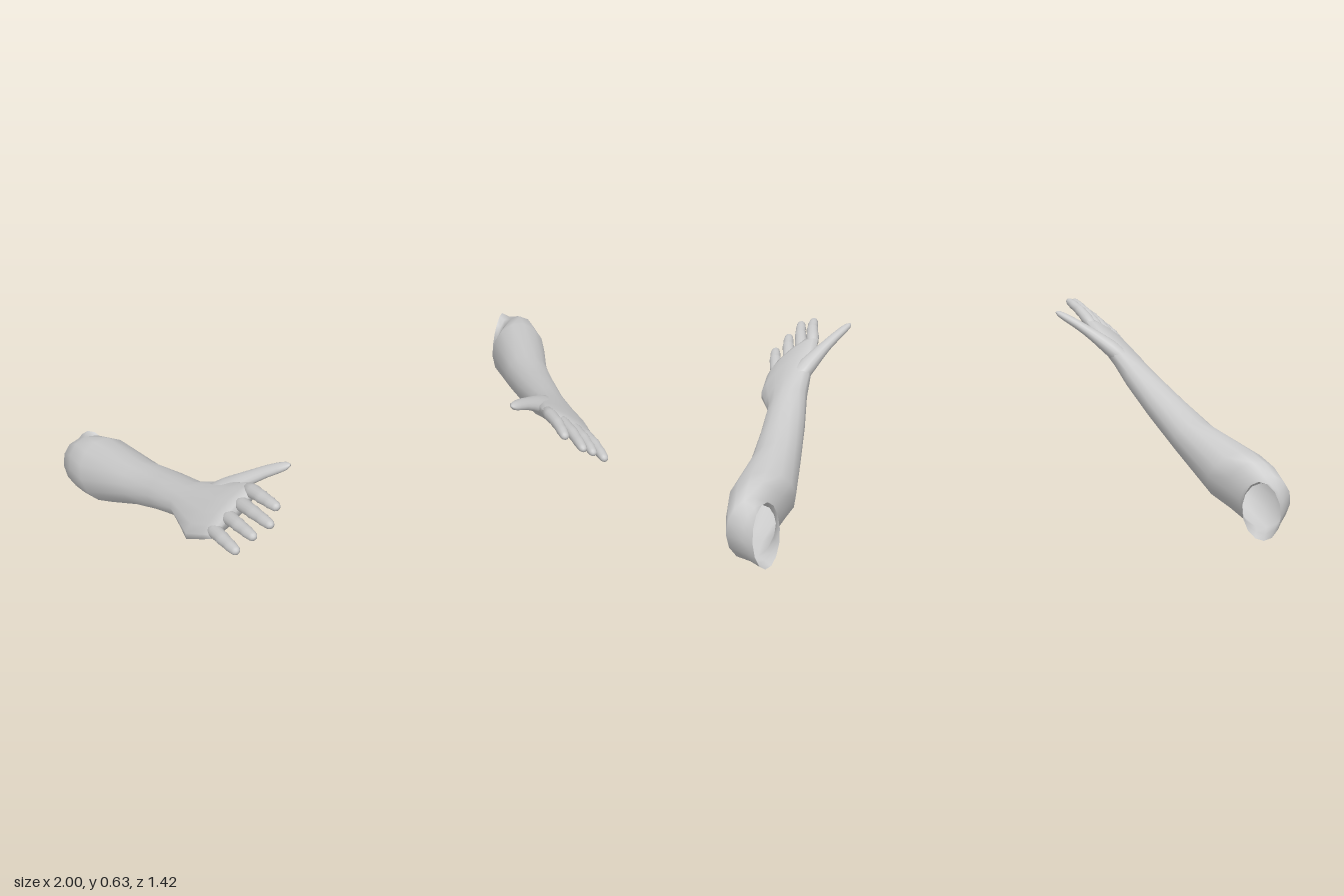
import * as THREE from 'three';

const SIDES = 14;
const vec = (a) => new THREE.Vector3(...a);
const skin = new THREE.MeshStandardMaterial({ color: 0xcccccc, side: THREE.DoubleSide });

// Skin a row of elliptical rings {c, u, v}; the last ring is closed, the first can stay open
function loft(rings, name, openStart = true) {
  const pos = [], index = [];
  for (const { c, u, v } of rings) {
    for (let j = 0; j < SIDES; j++) {
      const a = (j / SIDES) * Math.PI * 2;
      const p = c.clone().addScaledVector(u, Math.cos(a)).addScaledVector(v, Math.sin(a));
      pos.push(p.x, p.y, p.z);
    }
  }
  for (let i = 0; i < rings.length - 1; i++) {
    for (let j = 0; j < SIDES; j++) {
      const k = (j + 1) % SIDES;
      const a = i * SIDES + j, b = i * SIDES + k, c = a + SIDES, d = b + SIDES;
      index.push(a, c, b, b, c, d);
    }
  }
  const cap = (ring, flip) => {
    const centre = pos.length / 3, start = ring * SIDES;
    pos.push(...rings[ring].c.toArray());
    for (let j = 0; j < SIDES; j++) {
      const a = start + j, b = start + ((j + 1) % SIDES);
      index.push(...(flip ? [centre, a, b] : [centre, b, a]));
    }
  };
  cap(rings.length - 1, false);
  if (!openStart) cap(0, true);
  const geo = new THREE.BufferGeometry();
  geo.setAttribute('position', new THREE.Float32BufferAttribute(pos, 3));
  geo.setIndex(index);
  geo.computeVertexNormals();
  const mesh = new THREE.Mesh(geo, skin);
  mesh.name = name;
  return mesh;
}

// Direction out of the back of the hand
const BACK = new THREE.Vector3(0.61, 0.79, 0);

// Finger along a smooth path; profile rows are [position along path, radius]
function digit(points, profile, name, flat = 0.9) {
  const curve = new THREE.CatmullRomCurve3(points.map(vec));
  const rings = profile.map(([t, r]) => {
    const axis = curve.getTangentAt(t);
    const v = BACK.clone().addScaledVector(axis, -BACK.dot(axis)).normalize();
    const u = axis.clone().cross(v);
    return { c: curve.getPointAt(t), u: u.multiplyScalar(r), v: v.multiplyScalar(r * flat) };
  });
  return loft(rings, name, false);
}

// Rings from the open elbow cut to the knuckles: centre, inner half-axis, upper half-axis
const ARM = [
  [[0.870, 0.235, -0.655], [-0.050, 0, 0.055], [0, 0.110, 0.010]],
  [[0.888, 0.232, -0.630], [-0.060, 0, 0.045], [0, 0.100, 0]],
  [[0.912, 0.237, -0.590], [-0.084, 0, 0.030], [0, 0.110, -0.010]],
  [[0.890, 0.260, -0.520], [-0.098, 0, 0.020], [0, 0.118, -0.030]],
  [[0.858, 0.277, -0.440], [-0.112, 0.010, -0.010], [0.010, 0.113, -0.040]],
  [[0.783, 0.325, -0.210], [-0.084, 0.020, -0.010], [0.020, 0.073, -0.020]],
  [[0.735, 0.375, -0.030], [-0.074, 0.030, -0.005], [0.026, 0.060, -0.015]],
  [[0.698, 0.418, 0.130], [-0.065, 0.042, 0], [0.033, 0.044, -0.010]],
  [[0.684, 0.444, 0.220], [-0.082, 0.064, 0], [0.028, 0.036, -0.005]],
  [[0.668, 0.470, 0.320], [-0.104, 0.084, 0], [0.024, 0.031, 0]],
  [[0.642, 0.505, 0.400], [-0.098, 0.078, -0.010], [0.019, 0.025, 0]],
  [[0.632, 0.515, 0.440], [-0.088, 0.069, -0.010], [0.013, 0.017, 0]],
];

// Base and tip of each finger
const FINGERS = {
  indexFinger: [[0.563, 0.568, 0.390], [0.530, 0.597, 0.597]],
  middleFinger: [[0.605, 0.535, 0.400], [0.572, 0.573, 0.655]],
  ringFinger: [[0.652, 0.498, 0.405], [0.625, 0.530, 0.633]],
  littleFinger: [[0.702, 0.455, 0.395], [0.681, 0.482, 0.617]],
};

// Slight swelling at each joint, rounded at the tip
const FINGER_PROFILE = [
  [0, 0.021], [0.2, 0.025], [0.42, 0.022], [0.5, 0.0235], [0.56, 0.0215],
  [0.72, 0.0195], [0.77, 0.0205], [0.82, 0.019], [0.94, 0.0165], [0.985, 0.012], [1, 0.005],
];
const THUMB_PROFILE = [
  [0, 0.025], [0.15, 0.045], [0.32, 0.043], [0.5, 0.034], [0.62, 0.028],
  [0.75, 0.0245], [0.88, 0.021], [0.96, 0.016], [1, 0.006],
];

function makeArm(name) {
  const arm = new THREE.Group();
  arm.name = name;
  arm.add(loft(ARM.map(([c, u, v]) => ({ c: vec(c), u: vec(u), v: vec(v) })), 'forearmAndPalm'));
  for (const [finger, [base, tip]] of Object.entries(FINGERS)) {
    // Slight arch over the knuckles
    const mid = vec(base).lerp(vec(tip), 0.5).addScaledVector(BACK, 0.006).toArray();
    arm.add(digit([base, mid, tip], FINGER_PROFILE, finger));
  }
  arm.add(digit(
    [[0.680, 0.452, 0.205], [0.590, 0.525, 0.280], [0.495, 0.588, 0.345], [0.418, 0.628, 0.402]],
    THUMB_PROFILE, 'thumb', 0.72));
  return arm;
}

export function createModel() {
  const model = new THREE.Group();
  model.name = 'pairOfArms';
  const left = makeArm('leftArm');

  // The right arm is mirrored, pitched up a little and set further forward
  const right = makeArm('rightArm');
  right.scale.x = -1;
  right.rotation.set(-0.1, 0.02, 0);
  right.position.set(0.005, -0.053, 0.1);

  model.add(left, right);
  return model;
}
